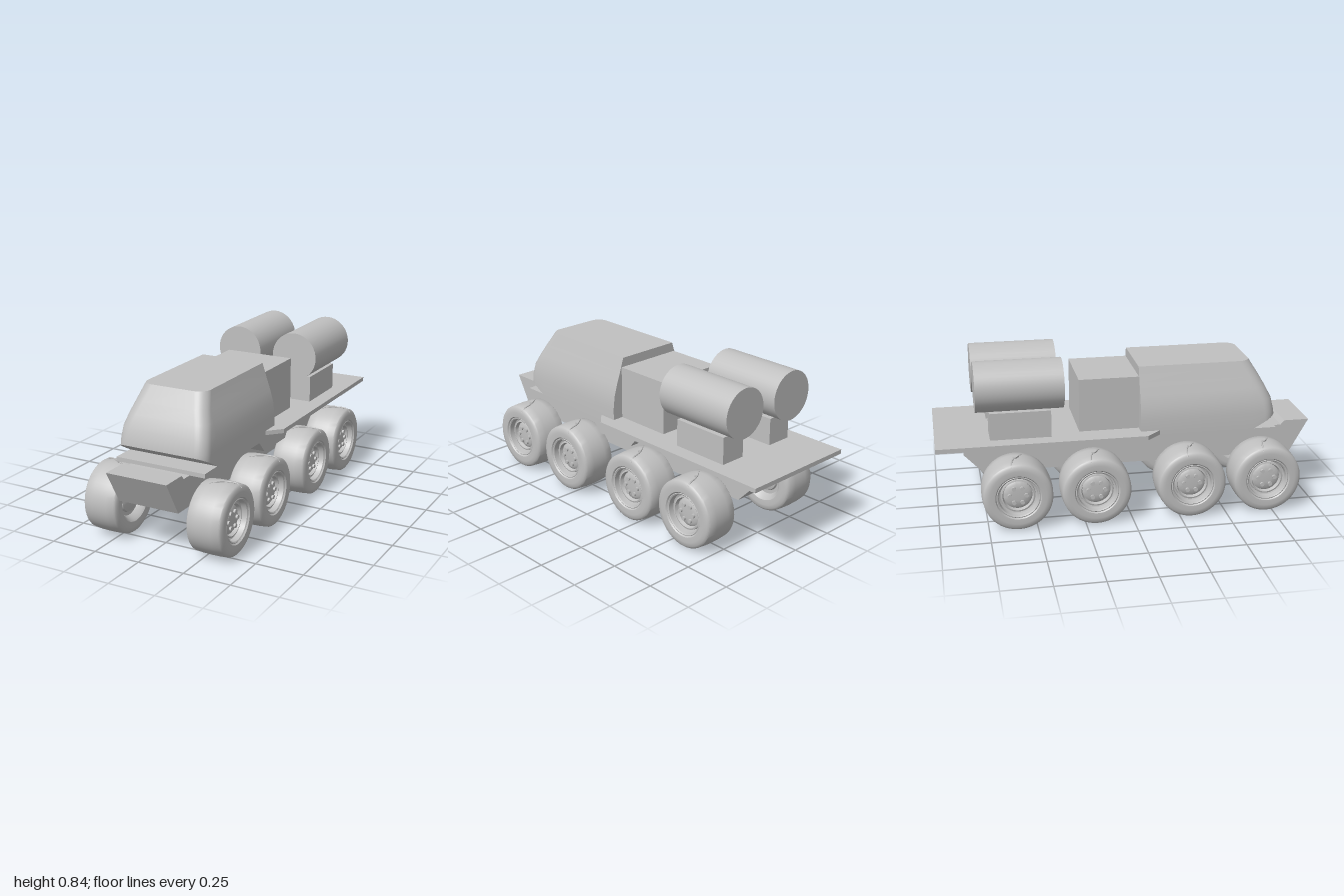
import * as THREE from 'three';
import { toCreasedNormals } from 'three/addons/utils/BufferGeometryUtils.js';

const grey = new THREE.MeshStandardMaterial({ color: 0xc0c0c0 });
grey.name = 'light grey';

const V = (x, y, z) => new THREE.Vector3(x, y, z);

function add(parent, name, geometry, x = 0, y = 0, z = 0) {
  const mesh = new THREE.Mesh(geometry, grey);
  mesh.name = name;
  mesh.position.set(x, y, z);
  parent.add(mesh);
  return mesh;
}

// Box given by its limits
function block(parent, name, x0, x1, y0, y1, z0, z1) {
  return add(parent, name, new THREE.BoxGeometry(x1 - x0, y1 - y0, z1 - z0),
    (x0 + x1) / 2, (y0 + y1) / 2, (z0 + z1) / 2);
}

const shapeOf = pts => new THREE.Shape(pts.map(p => new THREE.Vector2(p[0], p[1])));

// Side profile of (z, y) points, extruded across the vehicle
function sideProfile(pts, width) {
  const g = new THREE.ExtrudeGeometry(shapeOf(pts), { depth: width, bevelEnabled: false });
  return g.translate(0, 0, -width / 2).rotateY(-Math.PI / 2);
}

// Cab lofted through rounded plan sections: [y, half width, front z, corner radius]
function cabGeometry() {
  const back = 0.06, base = 0.42, kink = 0.66, steps = 8;
  const sections = [
    [base, 0.25, 0.79, 0.06], [0.51, 0.25, 0.788, 0.06], [0.58, 0.242, 0.772, 0.06],
    [0.64, 0.225, 0.742, 0.06], [0.70, 0.204, 0.709, 0.06], [0.78, 0.178, 0.66, 0.06],
  ];
  const loops = sections.map(([y, hw, front, r], k) => {
    const half = [[hw, back], [hw, Math.min(kink, front - r - 0.002)]];
    for (let i = 0; i <= steps; i++) {
      const a = (i / steps) * Math.PI / 2;
      half.push([hw - r + r * Math.cos(a), front - r + r * Math.sin(a)]);
    }
    const all = half.concat(half.slice().reverse().map(([x, z]) => [-x, z]));
    // The lowest section follows the sloping underside of the nose
    return all.map(([x, z]) => V(x, k ? y : base + Math.max(0, z - kink) * 0.565, z));
  });
  const n = loops[0].length, pos = [];
  const tri = (...p) => p.forEach(v => pos.push(v.x, v.y, v.z));
  const under = V(0, base, kink), over = V(0, 0.78, 0.3);
  for (let i = 0; i < n; i++) {
    const j = (i + 1) % n;
    for (let k = 0; k < loops.length - 1; k++) {
      const lo = loops[k], hi = loops[k + 1];
      tri(lo[i], hi[i], lo[j]);
      tri(lo[j], hi[i], hi[j]);
    }
    tri(under, loops[0][i], loops[0][j]);
    tri(over, loops.at(-1)[j], loops.at(-1)[i]);
  }
  const g = new THREE.BufferGeometry();
  g.setAttribute('position', new THREE.Float32BufferAttribute(pos, 3));
  return toCreasedNormals(g, 0.45);
}

// Lathe turned about the x axis from [radius, x] points
function turned(pts, segments = 48) {
  const g = new THREE.LatheGeometry(pts.map(p => new THREE.Vector2(p[0], p[1])), segments);
  return toCreasedNormals(g.rotateZ(-Math.PI / 2), 0.6);
}

const tireGeometry = turned([
  [0.092, -0.06], [0.108, -0.088], [0.118, -0.096], [0.145, -0.098], [0.165, -0.095],
  [0.175, -0.088], [0.178, -0.084], [0.182, -0.04], [0.183, 0], [0.182, 0.04], [0.178, 0.084],
  [0.175, 0.088], [0.165, 0.095], [0.145, 0.098], [0.118, 0.096], [0.112, 0.09], [0.1, 0.05],
], 56);
const rimGeometry = turned([
  [0, -0.078], [0.04, -0.076], [0.07, -0.066], [0.075, -0.055], [0.095, -0.055], [0.108, -0.086],
  [0.115, -0.086], [0.116, 0.088], [0.108, 0.092], [0.102, 0.088], [0.099, 0.06], [0.09, 0.056],
  [0.088, 0.066], [0.08, 0.068], [0.074, 0.05], [0.06, 0.06], [0.03, 0.062], [0, 0.062],
]);
const boltGeometry = new THREE.CylinderGeometry(0.011, 0.011, 0.02, 12).rotateZ(Math.PI / 2);

function makeWheel(side, z) {
  const wheel = new THREE.Group();
  wheel.name = 'wheel';
  wheel.position.set(side * 0.293, 0.186, z);
  const turnedPart = new THREE.Group();
  turnedPart.name = 'tireAndRim';
  turnedPart.rotation.y = side > 0 ? 0 : Math.PI;
  wheel.add(turnedPart);
  add(turnedPart, 'tire', tireGeometry);
  add(turnedPart, 'rim', rimGeometry);
  for (let i = 0; i < 6; i++) {
    const a = (i / 6) * Math.PI * 2;
    add(turnedPart, 'wheelBolt', boltGeometry, 0.062, 0.043 * Math.sin(a), 0.043 * Math.cos(a));
  }
  // Thin air line across the tread with its small clamp
  const line = new THREE.CatmullRomCurve3([
    V(side * -0.045, 0.18, 0.03), V(side * -0.01, 0.184, 0.002), V(side * 0.03, 0.183, -0.02),
    V(side * 0.075, 0.178, -0.03), V(side * 0.096, 0.158, -0.032),
  ]);
  add(wheel, 'airLine', new THREE.TubeGeometry(line, 16, 0.004, 6));
  const clamp = add(wheel, 'airLineClamp', new THREE.BoxGeometry(0.035, 0.012, 0.016), 0, 0.184, 0);
  clamp.rotation.y = side * 0.6;
  return wheel;
}

export function createModel() {
  const model = new THREE.Group();
  model.name = 'eightWheeledTruck';

  // Chassis: narrow hull, wide floor plate and side boxes hanging between the axles
  add(model, 'hull', sideProfile([
    [0.9, 0.25], [1.0, 0.428], [0.865, 0.428], [0.845, 0.405], [-0.855, 0.425],
    [-0.855, 0.35], [-0.76, 0.25],
  ], 0.334));
  block(model, 'floorPlate', -0.25, 0.25, 0.404, 0.426, -0.855, 0.79);
  add(model, 'middleBox', sideProfile([
    [-0.14, 0.424], [-0.07, 0.34], [0.17, 0.34], [0.25, 0.424],
  ], 0.499));

  // Flat deck with cut front corners
  const deck = new THREE.ExtrudeGeometry(shapeOf([
    [-0.32, -1], [0.32, -1], [0.32, 0.085], [0.25, 0.16], [-0.25, 0.16], [-0.32, 0.085],
  ]), { depth: 0.023, bevelEnabled: false }).rotateX(Math.PI / 2);
  add(model, 'deck', deck, 0, 0.449, 0);

  add(model, 'cab', cabGeometry());
  block(model, 'equipmentBox', -0.19, 0.19, 0.44, 0.73, -0.255, 0.07);

  for (const side of [1, -1]) {
    // Cargo drums resting on their stands
    const x = side * 0.169;
    const drum = new THREE.CylinderGeometry(0.13, 0.13, 0.45, 40).rotateX(Math.PI / 2);
    add(model, 'drum', drum, x, 0.717, -0.565);
    block(model, 'drumStand', x - 0.07, x + 0.07, 0.445, 0.592, -0.72, -0.405);
    for (const z of [0.715, 0.31, -0.192, -0.597]) model.add(makeWheel(side, z));
  }
  return model;
}
